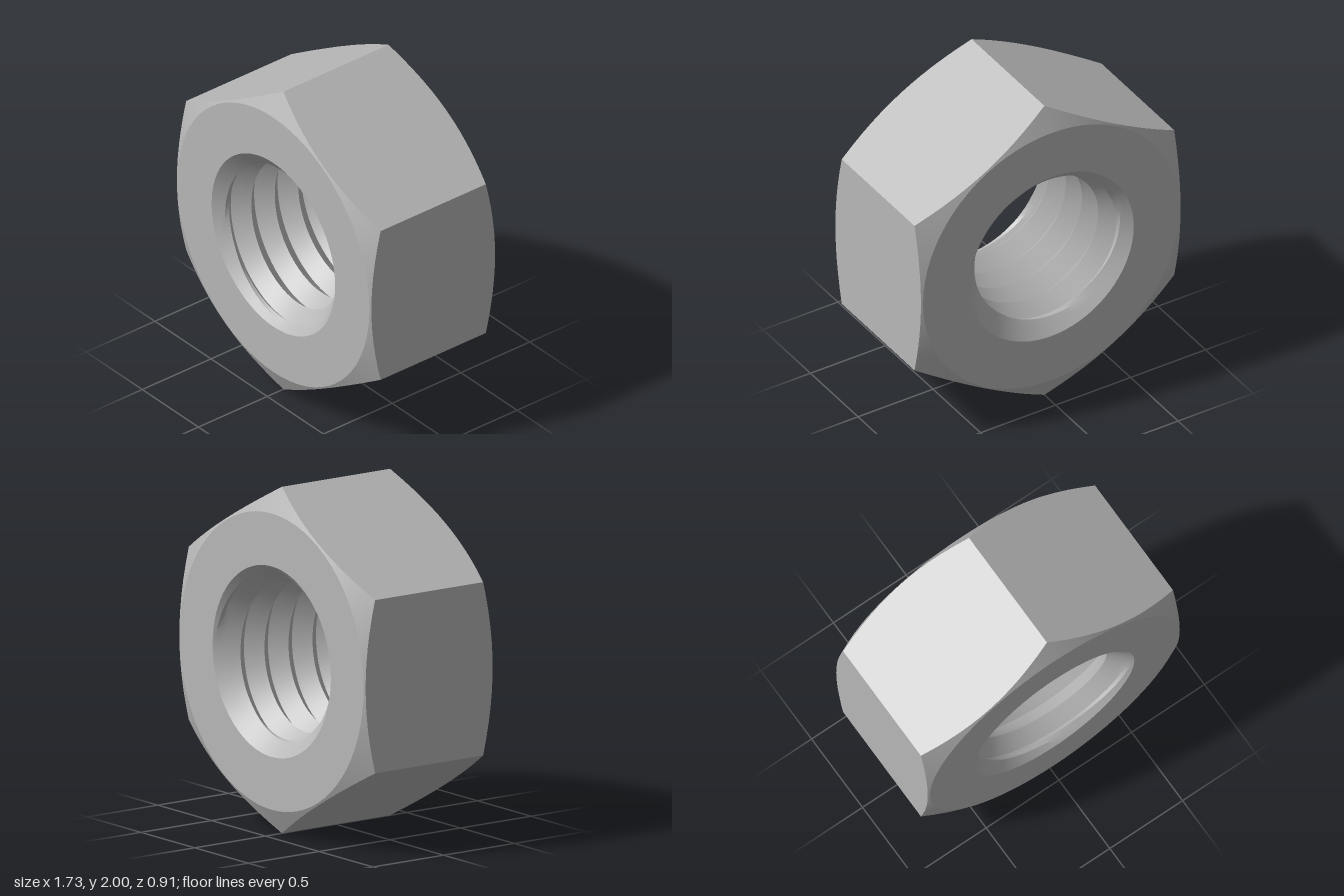
import * as THREE from 'three';
import { toCreasedNormals } from 'three/addons/utils/BufferGeometryUtils.js';

const HALF = 0.455;      // half thickness
const FLAT = 0.866;      // centre to flat
const FACE = 0.855;      // radius where the corner chamfer starts
const MINOR = 0.44, MAJOR = 0.52, MOUTH = 0.55; // bore radii
const PITCH = 0.17;
const SEGMENTS = 72;

// Sweeps rows of (radius, z) points around the z axis.
function sweep(rows, point) {
  const positions = [], index = [];
  for (let i = 0; i < rows; i++) {
    for (let j = 0; j <= SEGMENTS; j++) {
      const a = (j / SEGMENTS) * Math.PI * 2;
      const [r, z] = point(i, a);
      positions.push(r * Math.cos(a), r * Math.sin(a), z);
    }
  }
  const w = SEGMENTS + 1;
  for (let i = 0; i < rows - 1; i++) {
    for (let j = 0; j < SEGMENTS; j++) {
      const p = i * w + j;
      index.push(p, p + w, p + w + 1, p, p + w + 1, p + 1);
    }
  }
  const geometry = new THREE.BufferGeometry();
  geometry.setAttribute('position', new THREE.Float32BufferAttribute(positions, 3));
  geometry.setIndex(index);
  return toCreasedNormals(geometry, 0.35);
}

// Hexagonal body with conical chamfers cutting the corners
function bodyPoint(i, a) {
  const sector = Math.PI / 3;
  const off = a - Math.round(a / sector) * sector;
  const r = FLAT / Math.cos(off);
  const z = HALF - (r - FACE) * 0.5;
  return [[MOUTH, HALF], [FACE, HALF], [r, z], [r, -z], [FACE, -HALF], [MOUTH, -HALF]][i];
}

// Bore with a helical thread and a countersink at each mouth
const STEPS = 8;
const START = -Math.ceil((HALF + PITCH) / PITCH) * STEPS;
const END = Math.ceil(HALF / PITCH) * STEPS;
function borePoint(i, a) {
  const turn = (START + i) / STEPS;
  const z = THREE.MathUtils.clamp(PITCH * (turn + a / (Math.PI * 2)), -HALF, HALF);
  const phase = z / PITCH - a / (Math.PI * 2);
  const wave = 2 * Math.abs(phase - Math.round(phase));
  const thread = MINOR + (MAJOR - MINOR) * wave;
  const sink = MOUTH - (HALF - Math.abs(z)) * 1.2;
  return [Math.abs(z) >= HALF ? MOUTH : Math.max(thread, sink), z];
}

export function createModel() {
  const steel = new THREE.MeshStandardMaterial({ color: 0xb8b8b8 });
  steel.name = 'steel grey';

  const body = new THREE.Mesh(sweep(6, bodyPoint), steel);
  body.name = 'hexBody';
  const bore = new THREE.Mesh(sweep(END - START + 1, borePoint), steel);
  bore.name = 'threadedBore';

  const group = new THREE.Group();
  group.name = 'hexNut';
  group.add(body, bore);
  group.children.forEach((part) => { part.position.y = 1; });
  return group;
}
